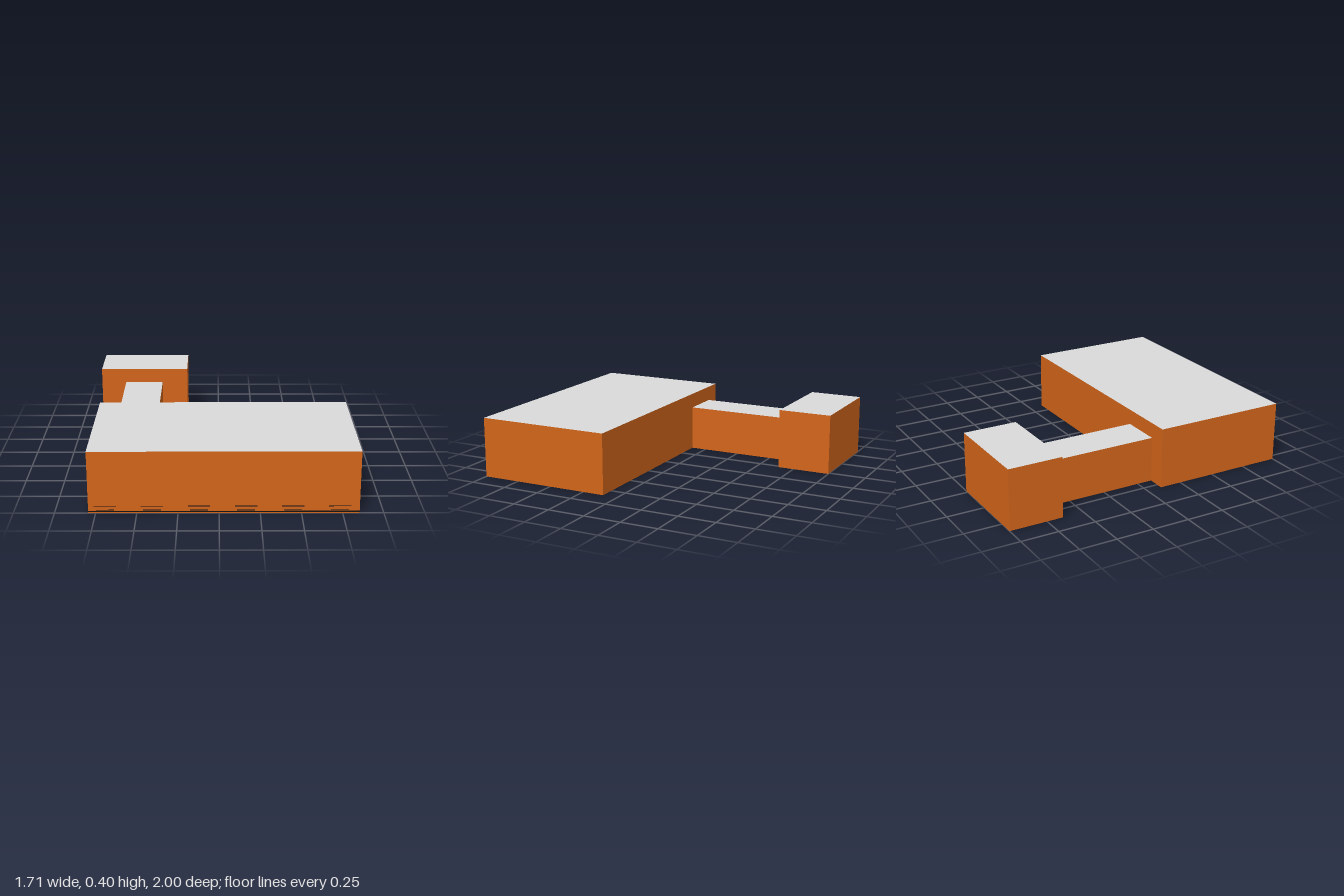
import * as THREE from 'three';

export function createModel() {
  const model = new THREE.Group();
  model.name = 'building';

  const wall = new THREE.MeshStandardMaterial({ color: 0xd2651a });
  wall.name = 'orange brown wall';
  const slab = new THREE.MeshStandardMaterial({ color: 0xdadada });
  slab.name = 'light grey roof and floor';
  const trim = new THREE.MeshStandardMaterial({ color: 0x141010 });
  trim.name = 'near black trim';

  // A block standing on the ground: coloured walls, grey roof and floor
  function addBlock(name, x0, x1, z0, z1, height) {
    const geometry = new THREE.BoxGeometry(x1 - x0, height, z1 - z0);
    const mesh = new THREE.Mesh(geometry, [wall, wall, slab, slab, wall, wall]);
    mesh.position.set((x0 + x1) / 2, height / 2, (z0 + z1) / 2);
    mesh.name = name;
    model.add(mesh);
  }

  addBlock('mainHall', -0.795, 0.853, 0.102, 1, 0.4);
  addBlock('connectingCorridor', -0.678, -0.41, -0.641, 0.102, 0.3);
  addBlock('rearAnnex', -0.853, -0.229, -1, -0.641, 0.4);

  // A thin dark line painted on a front wall
  function addLine(name, x0, x1, y, z, thickness) {
    const mesh = new THREE.Mesh(new THREE.BoxGeometry(x1 - x0, thickness, 0.002), trim);
    mesh.position.set((x0 + x1) / 2, y, z);
    mesh.name = name;
    model.add(mesh);
  }

  // Base lines along the fronts of the hall and the annex
  addLine('hallBaseLine', -0.795, 0.853, 0.01, 1, 0.008);
  addLine('annexBaseLine', -0.853, -0.678, 0.01, -0.641, 0.008);

  // Six pairs of short lines low on the hall front
  for (let i = 0; i < 6; i++) {
    const x = -0.692 + i * 0.285;
    addLine('upperVentLine', x - 0.068, x + 0.068, 0.046, 1, 0.004);
    addLine('lowerVentLine', x - 0.055, x + 0.055, 0.02, 1, 0.004);
  }

  return model;
}
